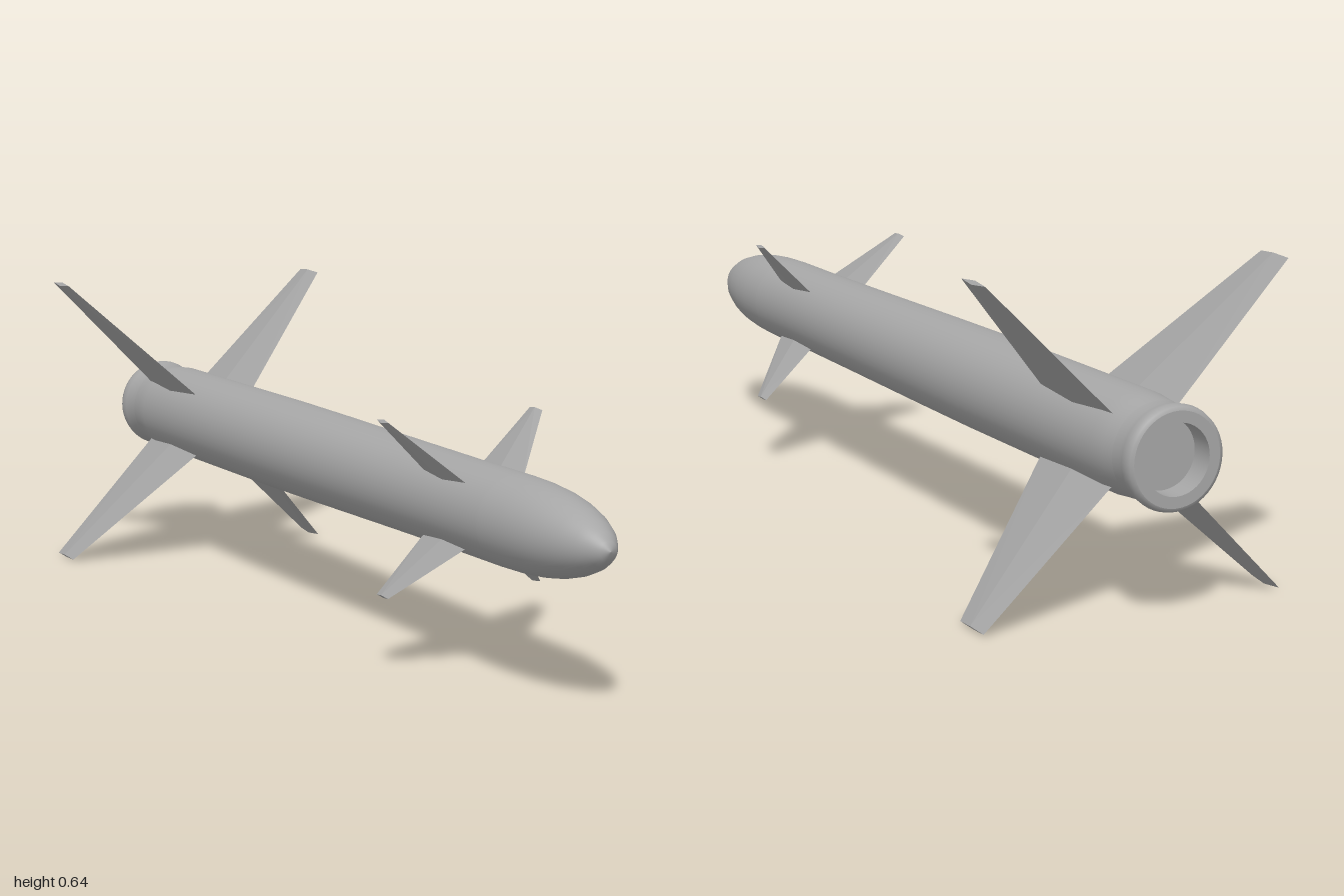
import * as THREE from 'three';
import { ConvexGeometry } from 'three/addons/geometries/ConvexGeometry.js';

const AXIS_Y = 0.322; // height of the body's long axis

export function createModel() {
  const model = new THREE.Group();
  model.name = 'missile';
  const grey = new THREE.MeshStandardMaterial({ color: 0xa6a6a6 });
  grey.name = 'bodyGrey';

  // Turned part around the z axis; profile is [radius, z] pairs
  const turned = (name, profile) => {
    const geo = new THREE.LatheGeometry(profile.map(([r, z]) => new THREE.Vector2(r, z)), 48);
    geo.rotateX(Math.PI / 2);
    const mesh = new THREE.Mesh(geo, grey);
    mesh.name = name;
    mesh.position.y = AXIS_Y;
    model.add(mesh);
  };

  turned('noseCone', [
    [0.091, 0.68], [0.089, 0.75], [0.084, 0.81], [0.076, 0.86], [0.063, 0.91],
    [0.047, 0.95], [0.032, 0.975], [0.018, 0.992], [0, 1],
  ]);
  turned('body', [
    [0.094, -0.93], [0.096, -0.9], [0.1, -0.86], [0.1, -0.3], [0.098, -0.08],
    [0.094, 0.25], [0.0915, 0.5], [0.091, 0.68],
  ]);
  turned('tailCollar', [
    [0.09, -1], [0.097, -0.997], [0.1, -0.985], [0.098, -0.97], [0.094, -0.955], [0.094, -0.93],
  ]);
  // Recessed exhaust
  turned('tailRim', [[0.068, -1], [0.09, -1]]);
  turned('exhaustWall', [[0.068, -0.95], [0.068, -1]]);
  turned('exhaustFloor', [[0, -0.95], [0.068, -0.95]]);

  // Tapered fin with a diamond section; each end is [radius, front z, rear z, thickness]
  const finGeometry = (...ends) => {
    const points = [];
    for (const [r, front, rear, thick] of ends) {
      const mid = (front + rear) / 2;
      points.push(
        new THREE.Vector3(r, 0, front), new THREE.Vector3(r, thick / 2, mid),
        new THREE.Vector3(r, 0, rear), new THREE.Vector3(r, -thick / 2, mid),
      );
    }
    return new ConvexGeometry(points);
  };

  const fins = {
    tailFin: finGeometry([0.088, -0.622, -0.888, 0.02], [0.45, -0.775, -0.866, 0.01]),
    frontFin: finGeometry([0.082, 0.6, 0.431, 0.016], [0.243, 0.485, 0.438, 0.009]),
  };
  const corners = ['UpperLeft', 'UpperRight', 'LowerRight', 'LowerLeft'];
  for (const [name, geo] of Object.entries(fins)) {
    corners.forEach((corner, i) => {
      const fin = new THREE.Mesh(geo, grey);
      fin.name = name + corner;
      fin.position.y = AXIS_Y;
      fin.rotation.z = Math.PI / 4 + (i * Math.PI) / 2;
      model.add(fin);
    });
  }
  return model;
}
